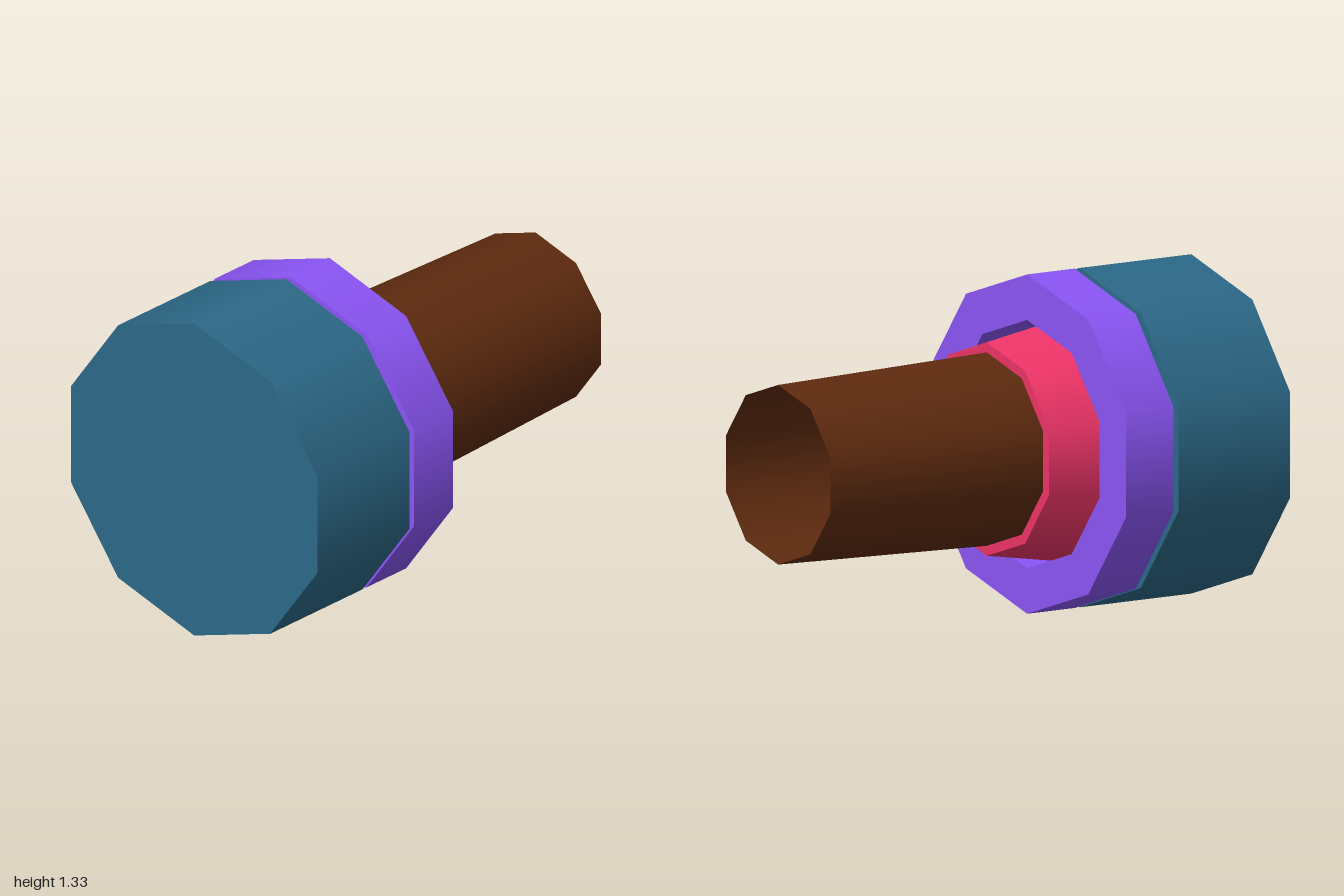
import * as THREE from 'three';

const SIDES = 10;
const AXIS_Y = 0.664;

function makeMaterial(color, side = THREE.FrontSide) {
  return new THREE.MeshStandardMaterial({ color, side });
}

// Ten-sided tapered section lying along z, from zBack to zFront
function section(name, rBack, rFront, zBack, zFront, material, open = false) {
  const geometry = new THREE.CylinderGeometry(rFront, rBack, zFront - zBack, SIDES, 1, open);
  geometry.rotateX(Math.PI / 2);
  const mesh = new THREE.Mesh(geometry, material);
  mesh.name = name;
  mesh.position.set(0, AXIS_Y, (zBack + zFront) / 2);
  return mesh;
}

// Flat ten-sided ring face
function ringFace(name, rInner, rOuter, z, facesBack, material) {
  const geometry = new THREE.RingGeometry(rInner, rOuter, SIDES, 1, Math.PI / 2);
  if (facesBack) geometry.rotateY(Math.PI);
  const mesh = new THREE.Mesh(geometry, material);
  mesh.name = name;
  mesh.position.set(0, AXIS_Y, z);
  return mesh;
}

export function createModel() {
  const model = new THREE.Group();
  model.name = 'taperedNozzle';

  // Solid front cap
  model.add(section('frontCap', 0.663, 0.663, 0.46, 1, makeMaterial(0x2c6988)));

  // Loose ring behind the cap, separated by a narrow gap
  const ring = new THREE.Group();
  ring.name = 'collarRing';
  const violet = makeMaterial(0x8b55f6);
  const back = 0.205, front = 0.435, hole = 0.485;
  ring.add(
    section('ringOuterWall', 0.663, 0.663, back, front, violet, true),
    section('ringInnerWall', hole, hole, back, front, makeMaterial(0x8b55f6, THREE.BackSide), true),
    ringFace('ringBackFace', hole, 0.663, back, true, violet),
    ringFace('ringFrontFace', hole, 0.663, front, false, violet)
  );
  model.add(ring);

  // Tapered collar seated in the ring
  model.add(section('taperedCollar', 0.417, 0.484, 0.01, 0.43, makeMaterial(0xee3468)));

  // Thin open tube running to the back
  model.add(section('rearTube', 0.351, 0.378, -1, 0.012, makeMaterial(0x5f2b0f, THREE.DoubleSide), true));

  return model;
}
